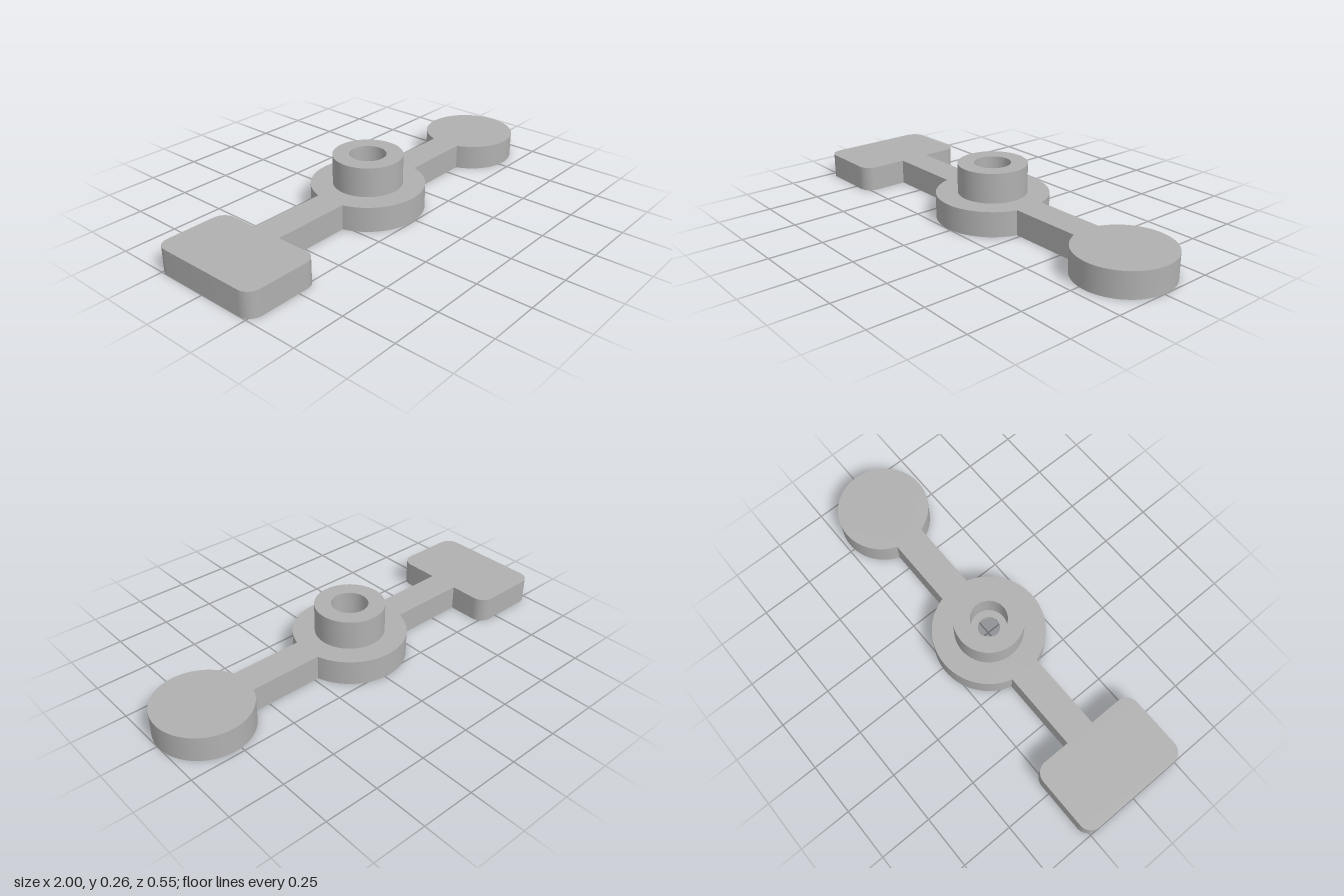
import * as THREE from 'three';
import { toCreasedNormals } from 'three/addons/utils/BufferGeometryUtils.js';

const T = 0.118;          // plate thickness
const D = 0.03;           // depth of the underside recesses
const AXIS_Z = -0.0125;   // centre line of arm, hub and disc
const HUB_X = -0.02;
const DISC_X = 0.782;

export function createModel() {
  const model = new THREE.Group();
  const grey = new THREE.MeshStandardMaterial({ color: 0xb0b0b0 });
  grey.name = 'grey';

  const add = (name, geometry, x, y, z, parent = model) => {
    const mesh = new THREE.Mesh(toCreasedNormals(geometry, 0.5), grey);
    mesh.name = name;
    mesh.position.set(x, y, z);
    parent.add(mesh);
  };

  // Upright slab from a plan outline, with optional holes
  const slab = (shape, height, hole) => {
    if (hole) shape.holes.push(hole);
    return new THREE.ExtrudeGeometry(shape, { depth: height, bevelEnabled: false, curveSegments: 64 })
      .rotateX(-Math.PI / 2);
  };

  const roundedRect = (w, h, r) => {
    const s = new THREE.Shape();
    const x = w / 2 - r, y = h / 2 - r;
    s.absarc(x, y, r, 0, Math.PI / 2);
    s.absarc(-x, y, r, Math.PI / 2, Math.PI);
    s.absarc(-x, -y, r, Math.PI, Math.PI * 1.5);
    s.absarc(x, -y, r, Math.PI * 1.5, Math.PI * 2);
    s.closePath();
    return s;
  };

  // Circle, cut flat on its -x side when cut is less than r
  const disc = (r, cut = r) => {
    const s = new THREE.Shape();
    const a = Math.PI - Math.acos(Math.min(1, cut / r));
    s.absarc(0, 0, r, -a, a);
    s.closePath();
    return s;
  };

  // A solid cap over a rim gives a block hollowed from below
  const hollowBlock = (name, outline, recess, x, z) => {
    const group = new THREE.Group();
    group.name = name;
    group.position.set(x, 0, z);
    add(name + 'Top', slab(outline(), T - D), 0, D, 0, group);
    add(name + 'Rim', slab(outline(), D, recess), 0, 0, 0, group);
    model.add(group);
  };

  hollowBlock('paddle', () => roundedRect(0.355, 0.55, 0.06), roundedRect(0.283, 0.478, 0.025), -0.8225, 0);
  hollowBlock('endDisc', () => disc(0.218), disc(0.167, 0.13), DISC_X, AXIS_Z);

  // Arms joining the hub to both ends
  for (const [name, x0, x1] of [['paddleArm', -0.645, -0.24], ['discArm', 0.2, 0.6]]) {
    add(name, new THREE.BoxGeometry(x1 - x0, T, 0.144), (x0 + x1) / 2, T / 2, AXIS_Z);
  }

  // Hub with raised boss and a bore narrowed by a thin web
  const profile = [
    [0.095, 0], [0.261, 0], [0.261, T], [0.16, T], [0.16, 0.257], [0.084, 0.257],
    [0.084, 0.14], [0.05, 0.14], [0.05, 0.13], [0.095, 0.13], [0.095, 0],
  ].map(([r, y]) => new THREE.Vector2(r, y));
  add('hub', new THREE.LatheGeometry(profile, 96), HUB_X, 0, AXIS_Z);

  return model;
}
